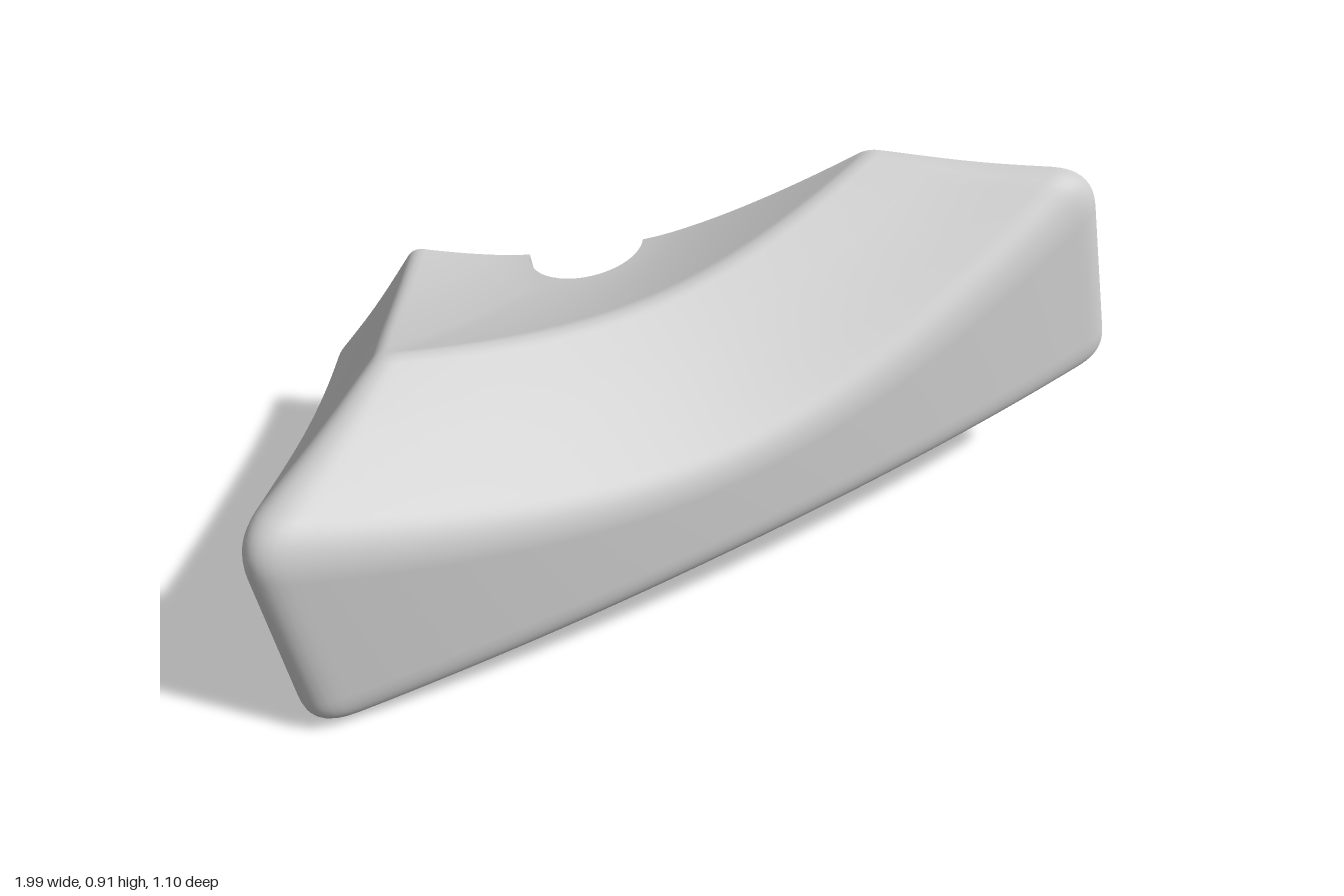
import * as THREE from 'three';
import { toCreasedNormals } from 'three/addons/utils/BufferGeometryUtils.js';

const RIM = 0.145, RIM_V = 0.512;      // screw hole radius and height of the dish at its edge
const STEP = 0.245, STEP_V = 0.44;     // wider bore below the ledge
const FOOT = 0.34, FOOT_V = 0.08;      // shallow recess in the underside
const lerp = THREE.MathUtils.lerp;

// Polar radius of a bulged triangle with softened corners at 0, 120 and 240 degrees
function bulgedTriangle(theta, mid, tip, soft) {
  const x = tip * 0.5, z = tip * Math.sin(Math.PI / 3);
  const e = (x * x + z * z - mid * mid) / (2 * (mid - x));
  const arc = (p) => -e * Math.cos(p) + Math.sqrt((mid + e) ** 2 - (e * Math.sin(p)) ** 2);
  const third = (2 * Math.PI) / 3;
  const phi = Math.abs((((theta % third) + third) % third) - third / 2);
  const a = arc(phi), b = arc(third - phi);
  const h = Math.max(soft - Math.abs(a - b), 0) / soft;
  return Math.min(a, b) - h * h * soft * 0.25;
}

// Points of a rounded corner between two straight runs
function roundCorner(a, p, b, cut, n) {
  const s = p.clone().add(a.clone().sub(p).setLength(cut));
  const t = p.clone().add(b.clone().sub(p).setLength(cut));
  return new THREE.QuadraticBezierCurve(s, p, t).getPoints(n);
}

// Radial cross-section: dish, ridge, hollow bevel, wall and underside
function profile(theta) {
  const V = (r, v) => new THREE.Vector2(r, v);
  const outer = bulgedTriangle(theta, 0.735, 1.298, 0.17);
  const inner = bulgedTriangle(theta, 0.432, 0.745, 0.07);
  const corner = (outer - 0.735) / 0.52;   // 0 mid-side, 1 at a corner
  const ridgeV = lerp(0.575, 0.678, (inner - 0.432) / 0.295);
  const wallV = lerp(0.272, 0.54, corner);
  const dish = [];
  for (let i = 0; i <= 14; i++) {
    const t = (i / 14) * 0.9;
    dish.push(V(lerp(RIM, inner, t), lerp(RIM_V, ridgeV, t ** 1.4)));
  }
  const ridge = V(inner, ridgeV), top = V(outer, wallV), base = V(outer, 0), foot = V(FOOT, 0);
  const hollow = ridge.clone().lerp(top, 0.5).add(V(-0.004, -0.01));
  return [
    ...dish,
    ...roundCorner(dish[14], ridge, hollow, 0.028, 5),
    ...roundCorner(ridge, hollow, top, 0.1, 4),
    ...roundCorner(hollow, top, base, lerp(0.055, 0.1, corner), 9),
    ...roundCorner(top, base, foot, 0.085, 9),
    V(outer - 0.1, 0), foot,
  ];
}

// Outer skin: cross-sections swept through half a turn
function skinGeometry(steps) {
  const pos = [], index = [];
  let n = 0;
  for (let i = 0; i <= steps; i++) {
    const th = (i / steps) * Math.PI;
    const pts = profile(th);
    n = pts.length;
    for (const p of pts) pos.push(p.x * Math.cos(th), p.y, p.x * Math.sin(th));
  }
  for (let i = 0; i < steps; i++) {
    for (let j = 0; j < n - 1; j++) {
      const a = i * n + j, b = a + n;
      index.push(a, b, a + 1, b, b + 1, a + 1);
    }
  }
  const g = new THREE.BufferGeometry();
  g.setAttribute('position', new THREE.Float32BufferAttribute(pos, 3));
  g.setIndex(index);
  g.computeVertexNormals();
  return g;
}

const holeSteps = [
  [RIM, RIM_V], [RIM, STEP_V], [STEP, STEP_V], [STEP, FOOT_V], [FOOT, FOOT_V], [FOOT, 0],
].map(([r, v]) => new THREE.Vector2(r, v));

// Flat cut face on one side of the hole
function cutFace(theta) {
  const side = Math.cos(theta);
  const loop = [...profile(theta), ...holeSteps.slice(1, -1).reverse()];
  const shape = new THREE.Shape(loop.map((p) => new THREE.Vector2(-side * p.x, p.y)));
  return new THREE.ShapeGeometry(shape).rotateY(Math.PI);
}

export function createModel() {
  const model = new THREE.Group();
  const body = new THREE.Group();
  body.name = 'tiltedBody';
  model.add(body);

  const material = new THREE.MeshStandardMaterial({ color: 0xcccccc });
  const thin = new THREE.MeshStandardMaterial({ color: 0xcccccc, side: THREE.DoubleSide });
  const add = (name, geometry, mat) => {
    const mesh = new THREE.Mesh(geometry, mat);
    mesh.name = name;
    body.add(mesh);
  };

  add('dishedBlock', skinGeometry(240), material);
  const hole = new THREE.LatheGeometry(holeSteps, 64, -Math.PI / 2, Math.PI);
  add('steppedScrewHole', toCreasedNormals(hole, 0.6), thin);
  add('cutFaceLeft', cutFace(0), material);
  add('cutFaceRight', cutFace(Math.PI), material);

  // The whole block leans ten degrees
  body.rotation.z = THREE.MathUtils.degToRad(10);
  body.position.set(-0.234, 0.11, -0.55);
  return model;
}
